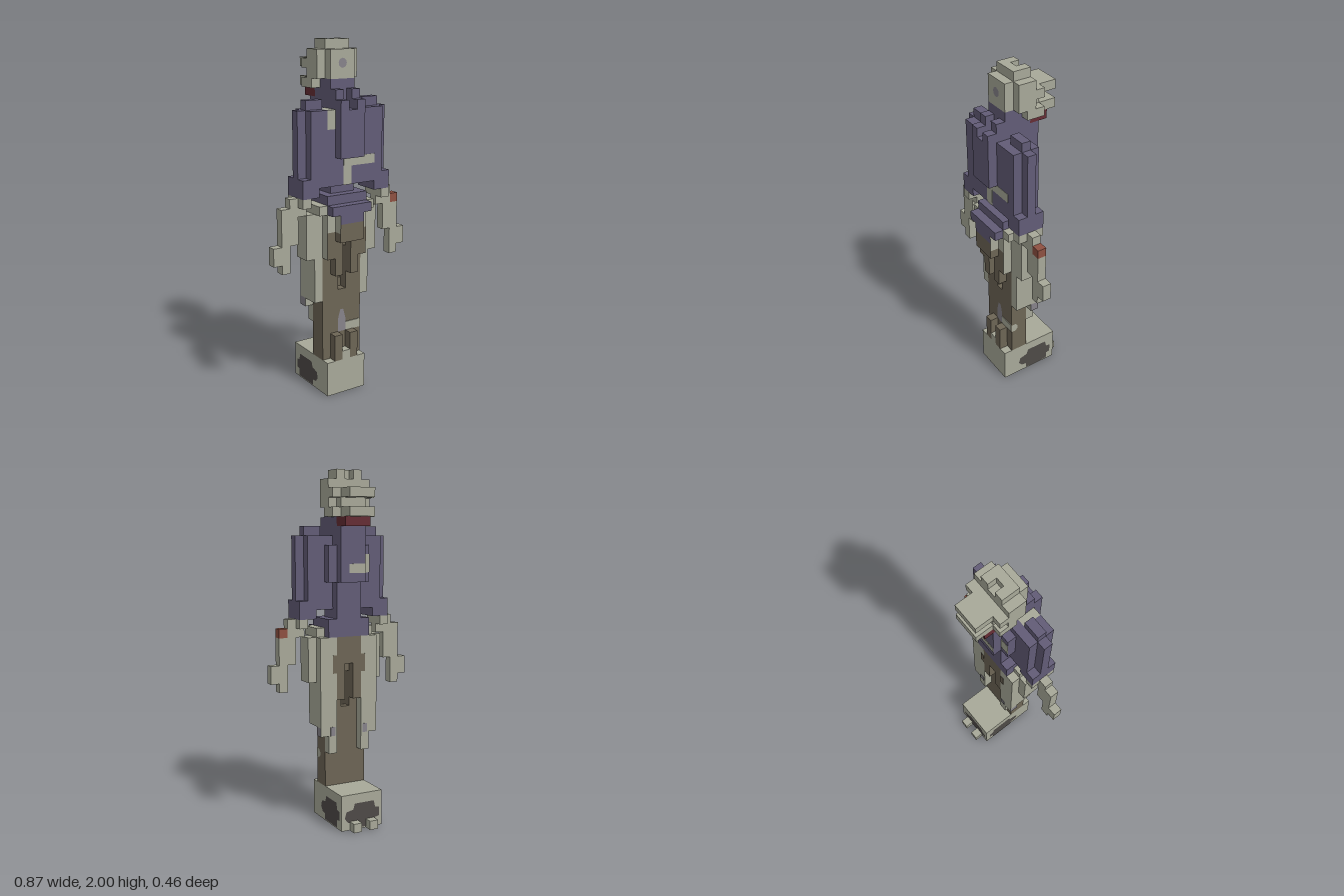
import * as THREE from 'three';

const U = 2 / 39; // size of one block
const colour = (name, hex) => {
  const m = new THREE.MeshStandardMaterial({ color: hex });
  m.name = name;
  return m;
};

export function createModel() {
  const model = new THREE.Group();
  model.name = 'blockFigure';
  const skin = colour('greyGreenSkin', 0xa8a999);
  const shirt = colour('purpleShirt', 0x625c77);
  const pants = colour('brownTrousers', 0x6d6555);
  const wound = colour('redWound', 0x8e5041);
  const mouthRed = colour('darkRedMouth', 0x652d34);
  const grey = colour('greySpot', 0x86838a);
  const dark = colour('darkSole', 0x4e4a47);

  // Box covering whole blocks, from the first to the last index on each axis
  const box = (name, mat, x0, x1, y0, y1, z0, z1) => {
    const g = new THREE.BoxGeometry((x1 - x0 + 1) * U, (y1 - y0 + 1) * U, (z1 - z0 + 1) * U);
    const m = new THREE.Mesh(g, mat);
    m.name = name;
    m.position.set((x0 + x1) / 2 * U, (y0 + y1 + 1) / 2 * U, (z0 + z1) / 2 * U);
    model.add(m);
    return m;
  };
  // The same box on both sides
  const pair = (name, mat, x0, x1, ...rest) => {
    box(name + 'Left', mat, x0, x1, ...rest);
    box(name + 'Right', mat, -x1, -x0, ...rest);
  };
  // Thin painted plate on a face that looks along z
  const plate = (name, mat, x0, x1, y0, y1, faceZ) => {
    const m = box(name, mat, x0, x1, y0, y1, 0, 0);
    m.scale.z = 0.004 / U;
    m.position.z = faceZ * U;
  };
  // Flat painted outline, in blocks
  const patch = (name, mat, points, position, rotation) => {
    const s = new THREE.Shape(points.map(([x, y]) => new THREE.Vector2(x * U, y * U)));
    const m = new THREE.Mesh(new THREE.ShapeGeometry(s), mat);
    m.name = name;
    m.position.set(...position.map((v) => v * U));
    m.rotation.set(...rotation);
    model.add(m);
  };
  // Box materials with differently coloured left and right faces
  const sided = (side, rest) => [side, side, rest, rest, rest, rest];

  // Foot block and toes
  box('footBlock', skin, -2, 2, 0, 3, -3, 3);
  pair('toe', skin, 1, 1, 0, 0, -4, -4);
  const blot = [[-0.5, 0.15], [2.5, 0.15], [2.5, 1], [3, 1.1], [3, 2.1], [2.5, 2.2], [2.3, 2.95],
    [-0.2, 2.95], [-0.4, 2.3], [-1.3, 2.1], [-1.5, 1.4], [-1.1, 0.9], [-0.5, 0.8]];
  patch('soleMarkLeft', dark, blot, [2.54, 0, 0], [0, Math.PI / 2, 0]);
  patch('soleMarkRight', dark, blot.map(([x, y]) => [-x, y]), [-2.54, 0, 0], [0, -Math.PI / 2, 0]);
  patch('soleMarkBack', dark, blot.map(([x, y]) => [x * 0.95 - 0.7, y]), [0, 0, -3.53], [0, Math.PI, 0]);
  patch('soleMarkUnder', dark, [[-1.2, -3], [1.2, -3], [2, -2], [2.2, 0], [1.6, 2.2], [0, 2.6],
    [-1.6, 2.2], [-2.2, 0], [-2, -2]], [0, -0.02, 0], [Math.PI / 2, 0, 0]);

  // Legs, with a gap between the thighs
  box('lowerLegs', pants, -2, 2, 4, 11, 1, 2);
  box('kneeBridge', pants, 0, 0, 12, 12, 1, 1);
  pair('thigh', pants, 1, 2, 12, 20, 1, 2);
  box('crotch', pants, 0, 0, 17, 20, 1, 2);
  pair('trouserPeg', pants, 1, 1, 4, 6, 3, 3);
  box('shinBone', skin, 0, 0, 4, 4, 3, 3);
  pair('thighFold', pants, 1, 1, 14, 17, 3, 3);
  box('beltLower', pants, -1, 1, 18, 18, 3, 4);
  box('beltUpper', sided(skin, pants), -1, 1, 19, 19, 3, 4);
  pair('hipFront', sided(skin, pants), 2, 2, 16, 18, 3, 3);
  pair('hipSkin', skin, 2, 2, 19, 20, 3, 3);
  pair('backFold', pants, 1, 1, 14, 20, 0, 0);
  box('backSeat', pants, 0, 0, 18, 20, 0, 0);
  plate('shinSkin', skin, 1, 2, 7, 7, 2.54);
  patch('shinSkinSide', skin, [[-2.5, 7], [-2, 7], [-1.7, 7.3], [-1.7, 7.7], [-2, 8], [-2.5, 8]],
    [2.53, 0, 0], [0, Math.PI / 2, 0]);
  patch('shinSpot', grey, [[-0.5, 7], [0.5, 7], [0.5, 8.5], [0.2, 9.6], [-0.2, 9.6], [-0.5, 8.5]],
    [0, 0, 2.54], [0, 0, 0]);

  // Hanging flesh around the hips
  pair('hipSide', skin, 3, 3, 11, 20, 0, 2);
  pair('hipTop', skin, 3, 3, 21, 21, 1, 3);
  pair('hipTip', sided(grey, skin), 3, 3, 10, 10, 0, 0);
  pair('hipBack', skin, 2, 2, 9, 20, 0, 0);
  pair('hipBackTip', skin, 2, 2, 8, 8, 0, 0);
  pair('hipOuter', skin, 4, 4, 16, 20, 1, 2);
  for (const s of [-1, 1]) {
    plate('hipBackStain', pants, s * 1.75 + 0.25, s * 1.75 - 0.25, 17, 18, -0.5);
    plate('hipBackSpot', grey, s * 2 + 0.2, s * 2 - 0.2, 10, 10, -0.5);
  }

  // Waist
  box('shirtHemFront', sided(skin, shirt), -1, 1, 20, 20, 3, 4);
  box('shirtHem', shirt, -2, 2, 21, 21, 0, 4);
  box('waist', shirt, -2, 2, 22, 22, 0, 3);
  box('waistCore', shirt, -1, 1, 23, 23, 0, 2);

  // Torso
  box('torsoCore', shirt, -1, 1, 24, 31, 0, 3);
  box('torsoFlankLeft', shirt, 2, 2, 24, 31, 1, 3);
  box('torsoFlankRight', shirt, -2, -2, 24, 29, 1, 3);
  box('torsoCorner', shirt, -2, -2, 30, 31, 1, 1);
  box('shoulderSkin', skin, -2, -2, 30, 31, 2, 3);
  pair('chestRib', shirt, 2, 2, 27, 30, 0, 0);
  pair('torsoSide', shirt, 3, 3, 24, 31, 1, 3);
  box('raisedPanel', shirt, -1, 1, 27, 31, 4, 4);
  pair('raisedPanelTip', shirt, 1, 1, 32, 32, 4, 4);
  box('chestPanel', shirt, -1, 1, 27, 32, -1, -1);
  box('upperChest', shirt, -1, 1, 32, 33, 0, 2);
  pair('collarTip', shirt, 1, 1, 32, 33, 3, 3);
  plate('bellyTearSide', skin, 0, 3, 26, 26, 3.5);
  plate('bellyTear', skin, 0, 0, 24, 25, 3.5);
  plate('chestTear', skin, -1, 0, 28, 28, -1.5);
  plate('chestTearSide', skin, -2, -2, 28, 29, -0.5);

  // Arms
  pair('shoulder', shirt, 3, 4, 32, 32, 2, 2);
  pair('innerSleeve', shirt, 4, 4, 23, 31, 1, 3);
  pair('outerSleeve', shirt, 5, 5, 25, 31, 2, 2);
  pair('sleeveEnd', shirt, 5, 5, 23, 24, 1, 3);
  pair('elbowTop', skin, 5, 5, 22, 22, 1, 3);
  pair('elbow', skin, 5, 5, 21, 21, 2, 2);
  pair('forearm', skin, 6, 6, 18, 22, 2, 2);
  pair('hand', skin, 7, 7, 15, 20, 2, 2);
  pair('thumb', skin, 8, 8, 16, 17, 2, 2);
  box('wristWound', wound, 7, 7, 21, 21, 2, 2);
  box('wrist', skin, -7, -7, 21, 21, 2, 2);

  // Neck and head
  box('neck', shirt, -1, 1, 34, 34, 0, 2);
  box('skull', skin, -2, 2, 35, 37, 0, 1);
  box('skullRear', skin, -1, 1, 35, 37, 2, 2);
  box('skullTop', skin, -1, 1, 38, 38, 1, 1);
  pair('skullTopKnob', skin, 1, 1, 38, 38, 0, 0);
  pair('cheek', skin, 2, 2, 34, 34, -1, 0);
  box('face', skin, -1, 1, 34, 35, -1, -1);
  box('browBase', skin, -2, 2, 36, 36, -1, -1);
  box('brow', skin, -1, 1, 36, 36, -3, -2);
  box('jaw', skin, -1, 1, 34, 34, -3, -2);
  box('mouth', mouthRed, -1, 1, 33, 33, -2, -1);
  const spot = new THREE.Mesh(new THREE.CircleGeometry(0.026, 12), grey);
  spot.name = 'headSpot';
  spot.position.set(0, 36.6 * U, 2.54 * U);
  model.add(spot);

  return model;
}
